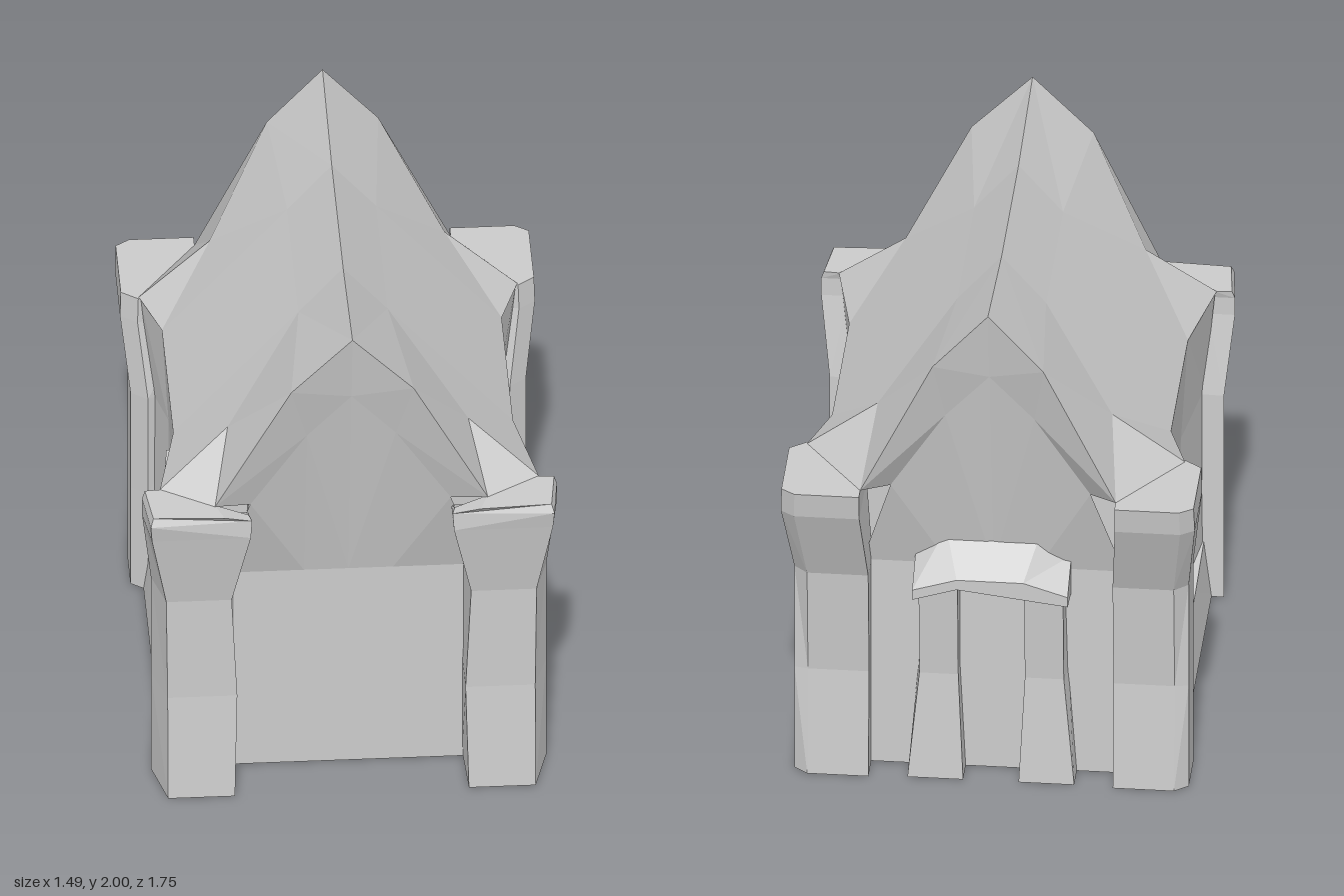
import * as THREE from 'three';

const material = new THREE.MeshStandardMaterial({ color: 0xcccccc, flatShading: true, side: THREE.DoubleSide });

// Geometry from triangles of [x, y, z] corners; side = -1 mirrors it across x
function fromTriangles(triangles, side = 1) {
  const pos = [];
  for (const [a, b, c] of triangles) {
    for (const [x, y, z] of side < 0 ? [a, c, b] : [a, b, c]) pos.push(side * x, y, z);
  }
  const geo = new THREE.BufferGeometry();
  geo.setAttribute('position', new THREE.Float32BufferAttribute(pos, 3));
  geo.computeVertexNormals();
  return geo;
}

// Skin between rows of points; closed rows become capped solids
function skin(rows, closed = false) {
  const tris = [];
  const n = rows[0].length;
  for (let r = 0; r < rows.length - 1; r++) {
    for (let i = 0; i < (closed ? n : n - 1); i++) {
      const j = (i + 1) % n;
      const [a, b, c, d] = [rows[r][i], rows[r][j], rows[r + 1][j], rows[r + 1][i]];
      tris.push([a, b, c], [a, c, d]);
    }
  }
  if (closed) {
    const first = rows[0], last = rows[rows.length - 1];
    for (let i = 1; i < n - 1; i++) {
      tris.push([first[0], first[i + 1], first[i]], [last[0], last[i], last[i + 1]]);
    }
  }
  return tris;
}

// Fan of triangles around the middle of a polygon
function fan(points) {
  const mid = [0, 1, 2].map((k) => points.reduce((sum, p) => sum + p[k], 0) / points.length);
  return points.map((p, i) => [mid, p, points[(i + 1) % points.length]]);
}

// Horizontal ring of [x, z] corners at height y
const ring = (y, pts) => pts.map(([x, z]) => [x, y, z]);

export function createModel() {
  const model = new THREE.Group();
  const add = (name, triangles, side) => {
    const mesh = new THREE.Mesh(fromTriangles(triangles, side), material);
    mesh.name = name;
    model.add(mesh);
  };
  // Left part at +x and its mirror image at -x
  const addPair = (name, triangles) => {
    add('left' + name, triangles, 1);
    add('right' + name, triangles, -1);
  };

  // Roof slopes: sagging ridge, steeper lower half, cut corners over the pillars
  const frontEdge = [[0, 2, 0.86], [0.22, 1.78, 0.86], [0.49, 1.25, 0.8]];
  const backEdge = [[0, 2, -0.83], [0.2, 1.78, -0.83], [0.46, 1.25, -0.83]];
  const frontCorner = [0.68, 1.25, 0.68], backCorner = [0.68, 1.25, -0.52];
  const section = (z) => [[0, 1.945, z], [0.16, 1.76, z], [0.61, 1.25, z]];
  const frontSection = section(0.33), backSection = section(-0.31);
  addPair('RoofSlope', [
    ...skin([frontEdge.slice(0, 2), frontSection.slice(0, 2)]),
    ...skin([frontSection, backSection]),
    ...skin([backSection.slice(0, 2), backEdge.slice(0, 2)]),
    ...fan([frontEdge[1], frontEdge[2], frontCorner, frontSection[2], frontSection[1]]),
    ...fan([backSection[1], backSection[2], backCorner, backEdge[2], backEdge[1]]),
  ]);

  // Gable walls: upright below, leaning out to the roof edge above
  const gable = (edge, wallZ, peakZ, sideZ) => skin([
    ring(0, [[0, wallZ], [0.16, wallZ], [0.47, wallZ]]),
    ring(0.84, [[0, wallZ], [0.16, wallZ], [0.47, wallZ]]),
    [[0, 1.72, peakZ], [0.16, 1.54, peakZ - Math.sign(peakZ) * 0.02], [0.36, 1.22, sideZ]],
    edge,
  ]);
  addPair('FrontGableWall', gable(frontEdge, 0.63, 0.81, 0.75));
  addPair('BackGableWall', gable(backEdge, -0.62, -0.78, -0.73));

  // Side walls bow inwards between the pillars
  const wall = (y, mid, end) => ring(y, [[end, 0.68], [mid, 0.33], [mid, -0.33], [end, -0.52]]);
  addPair('SideWall', skin([
    wall(0, 0.6, 0.64),
    wall(0.42, 0.585, 0.635),
    wall(0.84, 0.585, 0.635),
    wall(1.25, 0.61, 0.675),
  ]));

  // Plinth along each side
  const plinthZ = [0.66, 0.33, -0.31, -0.5];
  const plinthY = [0.225, 0.2, 0.195, 0.215];
  addPair('Plinth', skin([
    plinthZ.map((z) => [0.665, 0, z]),
    plinthZ.map((z, i) => [0.637, plinthY[i], z]),
    plinthZ.map((z, i) => [0.57, plinthY[i], z]),
  ]));

  // Raised window panels
  addPair('Window', skin([
    ring(0.42, [[0.56, 0.17], [0.62, 0.17], [0.625, 0], [0.615, -0.13], [0.56, -0.13]]),
    ring(0.84, [[0.56, 0.16], [0.612, 0.16], [0.62, 0], [0.605, -0.145], [0.56, -0.145]]),
  ], true));

  // Front corner pillars with flared heads
  addPair('FrontPillar', skin([
    ring(0, [[0.66, 0.83], [0.71, 0.64], [0.6, 0.645], [0.41, 0.6], [0.42, 0.83]]),
    ring(0.42, [[0.66, 0.8], [0.71, 0.64], [0.6, 0.645], [0.41, 0.6], [0.41, 0.8]]),
    ring(0.84, [[0.665, 0.8], [0.71, 0.64], [0.6, 0.645], [0.41, 0.6], [0.43, 0.8]]),
    ring(1.15, [[0.72, 0.86], [0.745, 0.69], [0.65, 0.69], [0.365, 0.7], [0.365, 0.86]]),
    ring(1.22, [[0.725, 0.875], [0.745, 0.69], [0.66, 0.69], [0.37, 0.815], [0.36, 0.855]]),
    ring(1.25, [[0.715, 0.86], [0.735, 0.685], [0.67, 0.68], [0.49, 0.79], [0.46, 0.873]]),
  ], true));

  // Back corner pillars, chamfered and flaring further out
  const backPillar = (y, inner, outer, back, chamfer, front) => ring(y, [
    [inner, -0.58], [inner, back], [outer - 0.05, back], [outer, chamfer], [outer, front], [outer - 0.06, front + 0.045],
  ]);
  addPair('BackPillar', skin([
    backPillar(0, 0.44, 0.71, -0.73, -0.69, -0.515),
    backPillar(0.42, 0.44, 0.71, -0.7, -0.69, -0.515),
    backPillar(0.84, 0.44, 0.71, -0.735, -0.69, -0.51),
    backPillar(1.15, 0.46, 0.745, -0.865, -0.83, -0.55),
    backPillar(1.25, 0.46, 0.742, -0.88, -0.845, -0.555),
  ], true));

  // Doorway at the back: waisted posts under a hood that slopes up to the wall
  addPair('DoorPost', skin([
    ring(0, [[0.1, -0.6], [0.1, -0.72], [0.3, -0.72], [0.3, -0.6]]),
    ring(0.42, [[0.12, -0.6], [0.12, -0.69], [0.26, -0.69], [0.27, -0.6]]),
    ring(0.8, [[0.12, -0.6], [0.12, -0.72], [0.26, -0.72], [0.26, -0.6]]),
  ], true));
  const hood = (z, half) => [...half, ...half.map(([x, y]) => [-x, y]).reverse()].map(([x, y]) => [x, y, z]);
  add('doorHood', skin([
    hood(-0.755, [[0.12, 0.81], [0.28, 0.76], [0.28, 0.8], [0.12, 0.85]]),
    hood(-0.61, [[0.12, 0.78], [0.28, 0.74], [0.28, 0.89], [0.17, 0.98]]),
  ], true));

  // Underside
  add('floor', skin([
    ring(0, [[-0.65, 0.63], [0.65, 0.63]]),
    ring(0, [[-0.65, -0.62], [0.65, -0.62]]),
  ]));

  return model;
}
